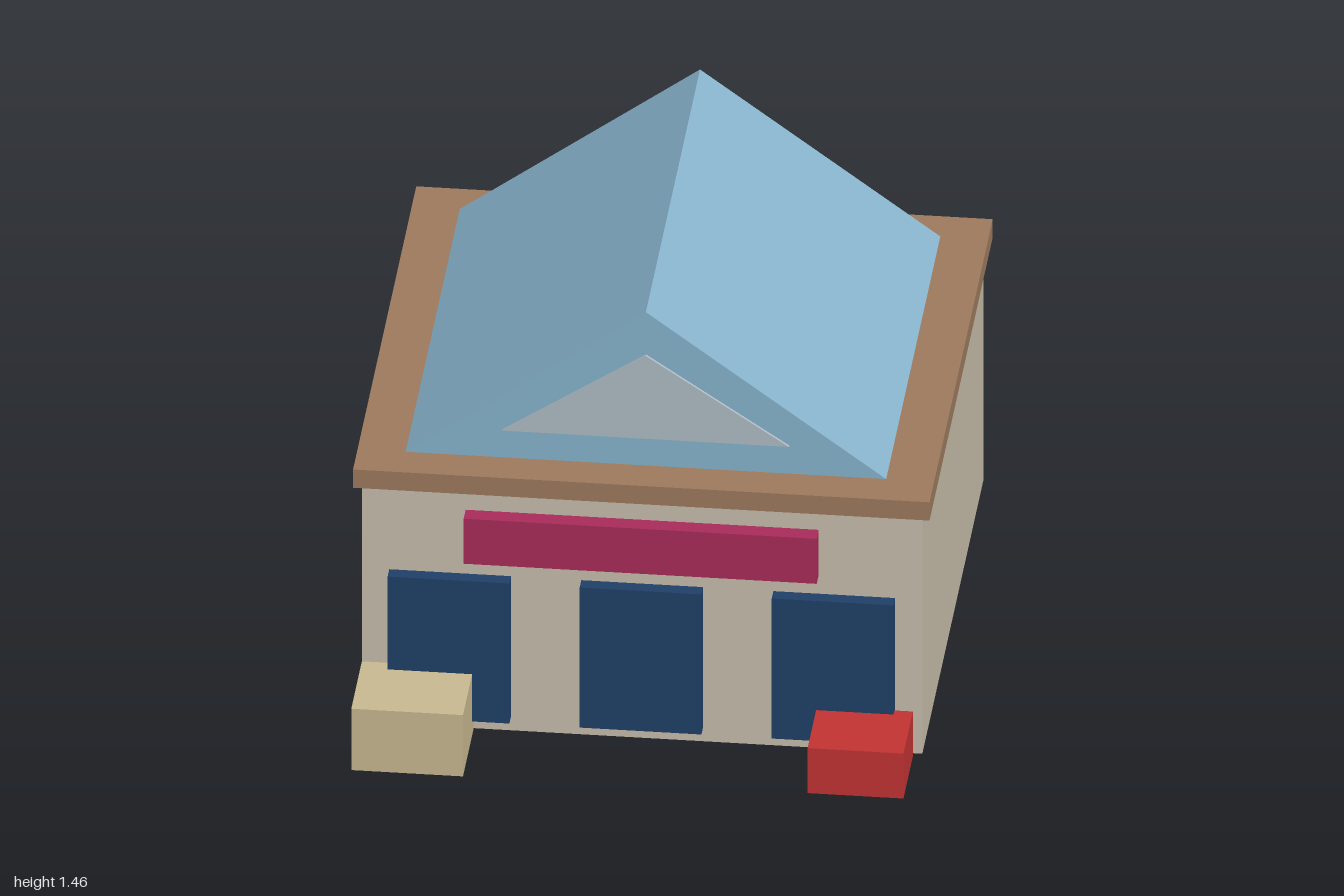
import * as THREE from 'three';

const paint = (name, color) => {
  const m = new THREE.MeshStandardMaterial({ color });
  m.name = name;
  return m;
};

export function createModel() {
  const group = new THREE.Group();
  group.name = 'shop';

  const stone = paint('stone', 0xc9c0ad);
  const brown = paint('brown', 0x9e7b5f);
  const blue = paint('roofBlue', 0x88b5ce);
  const grey = paint('gableGrey', 0xb0bec7);
  const magenta = paint('magenta', 0xaa2c5a);
  const navy = paint('navy', 0x204068);
  const tan = paint('tan', 0xc9ba92);
  const red = paint('red', 0xc43434);

  const add = (name, geometry, material) => {
    const mesh = new THREE.Mesh(geometry, material);
    mesh.name = name;
    group.add(mesh);
    return mesh;
  };

  // Box given by its lower and upper limits on each axis
  const box = (name, material, [x0, x1], [y0, y1], [z0, z1]) =>
    add(name, new THREE.BoxGeometry(x1 - x0, y1 - y0, z1 - z0), material)
      .position.set((x0 + x1) / 2, (y0 + y1) / 2, (z0 + z1) / 2);

  // Triangular prism running along z
  const prism = (name, material, half, y0, y1, z0, z1) => {
    const shape = new THREE.Shape([
      new THREE.Vector2(-half, y0),
      new THREE.Vector2(half, y0),
      new THREE.Vector2(0, y1),
    ]);
    const geometry = new THREE.ExtrudeGeometry(shape, { depth: z1 - z0, bevelEnabled: false });
    add(name, geometry, material).position.z = z0;
  };

  // Building and its overhanging cornice
  box('walls', stone, [-0.865, 0.865], [0, 0.845], [-0.975, 0.705]);
  box('cornice', brown, [-0.89, 0.89], [0.845, 0.91], [-1, 0.73]);

  // Pitched roof with a thin panel on each gable
  prism('roof', blue, 0.742, 0.91, 1.455, -0.878, 0.605);
  prism('frontGablePanel', grey, 0.443, 1.01, 1.305, 0.605, 0.614);
  prism('backGablePanel', grey, 0.443, 1.01, 1.305, -0.887, -0.878);

  // Shop front
  box('signBoard', magenta, [-0.545, 0.545], [0.615, 0.775], [0.705, 0.76]);
  for (const [side, x] of [['right', -0.593], ['middle', 0], ['left', 0.593]]) {
    box(side + 'Door', navy, [x - 0.188, x + 0.188], [0.05, 0.548], [0.705, 0.75]);
  }

  // Crates by the entrance
  box('tanCrate', tan, [-0.865, -0.52], [0, 0.218], [0.71, 1]);
  box('redCrate', red, [0.542, 0.838], [0, 0.16], [0.725, 0.982]);

  return group;
}
